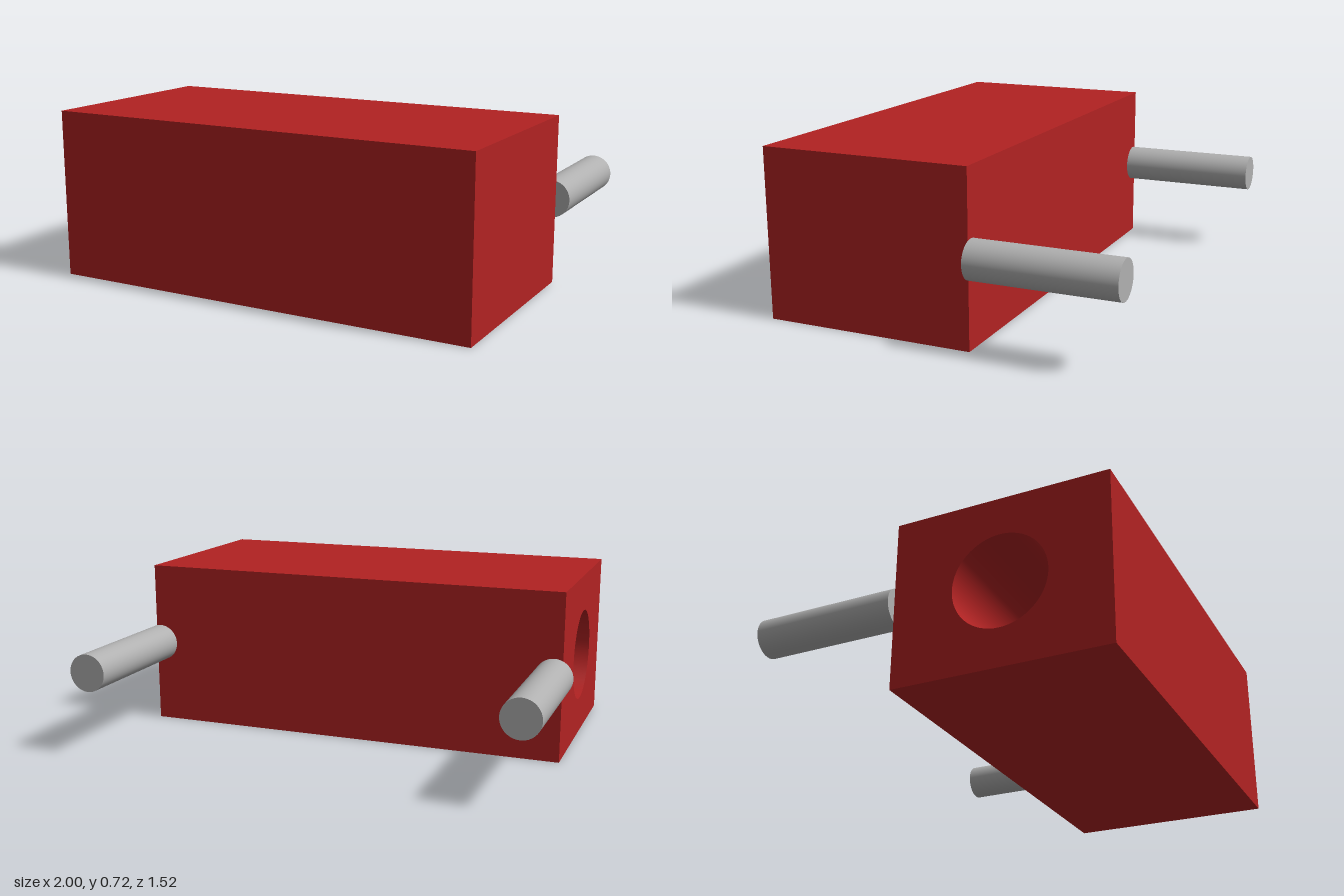
import * as THREE from 'three';

const red = new THREE.MeshStandardMaterial({ color: 0xb22222 });
red.name = 'red';
const grey = new THREE.MeshStandardMaterial({ color: 0xb0b0b0 });
grey.name = 'grey';

const MIN_X = -0.955, MAX_X = 0.94;   // body ends
const HEIGHT = 0.724, DEPTH = 0.905;  // body section
const MID_Y = HEIGHT / 2, MID_Z = 0.307;
const BORE_R = 0.2, BORE_DEPTH = 1.0;

function part(name, geometry, material, x, y, z) {
  const mesh = new THREE.Mesh(geometry, material);
  mesh.name = name;
  mesh.position.set(x, y, z);
  return mesh;
}

export function createModel() {
  const model = new THREE.Group();
  model.name = 'blockWithRods';

  // Body: a box without its -x end, which the bored end plate closes
  const box = new THREE.BoxGeometry(MAX_X - MIN_X, HEIGHT, DEPTH);
  const index = Array.from(box.index.array);
  index.splice(6, 6);
  box.setIndex(index);
  box.clearGroups();
  model.add(part('body', box, red, (MIN_X + MAX_X) / 2, MID_Y, MID_Z));

  const w = DEPTH / 2, h = HEIGHT / 2;
  const end = new THREE.Shape([
    new THREE.Vector2(-w, -h), new THREE.Vector2(w, -h),
    new THREE.Vector2(w, h), new THREE.Vector2(-w, h),
  ]);
  end.holes.push(new THREE.Path().absarc(0, 0, BORE_R, 0, Math.PI * 2, true));
  const endPlate = new THREE.ShapeGeometry(end, 32).rotateY(-Math.PI / 2);
  model.add(part('boredEnd', endPlate, red, MIN_X, MID_Y, MID_Z));

  // Blind bore: inward-facing wall and a flat floor
  const wall = new THREE.LatheGeometry(
    [new THREE.Vector2(BORE_R, BORE_DEPTH), new THREE.Vector2(BORE_R, 0)], 64
  ).rotateZ(Math.PI / 2);
  const floor = new THREE.CircleGeometry(BORE_R, 64).rotateY(-Math.PI / 2);
  model.add(part('boreWall', wall, red, MIN_X + BORE_DEPTH, MID_Y, MID_Z));
  model.add(part('boreFloor', floor, red, MIN_X + BORE_DEPTH, MID_Y, MID_Z));

  // Two rods reaching back from the rear corners
  const rod = new THREE.CylinderGeometry(0.081, 0.081, 0.613, 48).rotateX(Math.PI / 2);
  model.add(part('leftRod', rod, grey, 0.919, 0.364, -0.4535));
  model.add(part('rightRod', rod, grey, -0.919, 0.364, -0.4535));

  return model;
}
